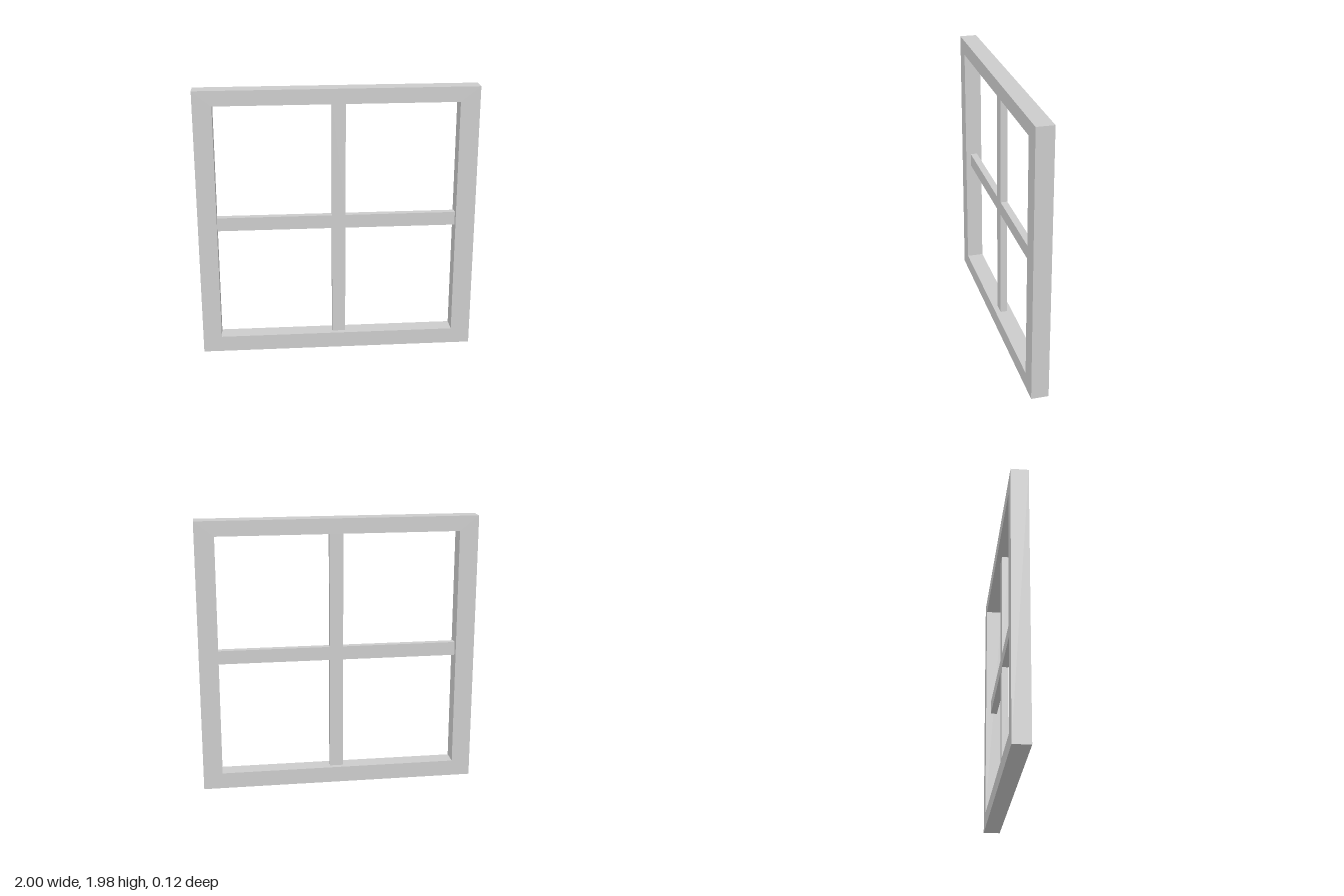
import * as THREE from 'three';

const material = new THREE.MeshStandardMaterial({ color: 0xcccccc, flatShading: true });

// Closed outline from corner points
const outline = (Type, points) => new Type(points.map(([x, y]) => new THREE.Vector2(x, y)));

// Extrudes a shape to a depth centred on z = 0
function slab(name, shape, depth) {
  const geometry = new THREE.ExtrudeGeometry(shape, { depth, bevelEnabled: false });
  geometry.translate(0, 0, -depth / 2);
  const mesh = new THREE.Mesh(geometry, material);
  mesh.name = name;
  return mesh;
}

export function createModel() {
  const group = new THREE.Group();
  group.name = 'windowFrame';

  // Opening edges
  const left = -0.865, right = 0.861, bottom = 0.117, top = 1.867;
  // Glazing bar edges
  const x0 = -0.037, x1 = 0.06, y0 = 0.943, y1 = 1.041;

  // Outer frame with one large opening
  const frame = outline(THREE.Shape, [[-1, 0], [1, 0], [1, 1.975], [-1, 1.975]]);
  frame.holes.push(outline(THREE.Path, [[left, bottom], [left, top], [right, top], [right, bottom]]));
  group.add(slab('outerFrame', frame, 0.124));

  // Thinner cross of glazing bars, set back from both faces
  const cross = outline(THREE.Shape, [
    [x0, bottom], [x1, bottom], [x1, y0], [right, y0], [right, y1], [x1, y1],
    [x1, top], [x0, top], [x0, y1], [left, y1], [left, y0], [x0, y0],
  ]);
  group.add(slab('glazingBars', cross, 0.05));

  return group;
}
